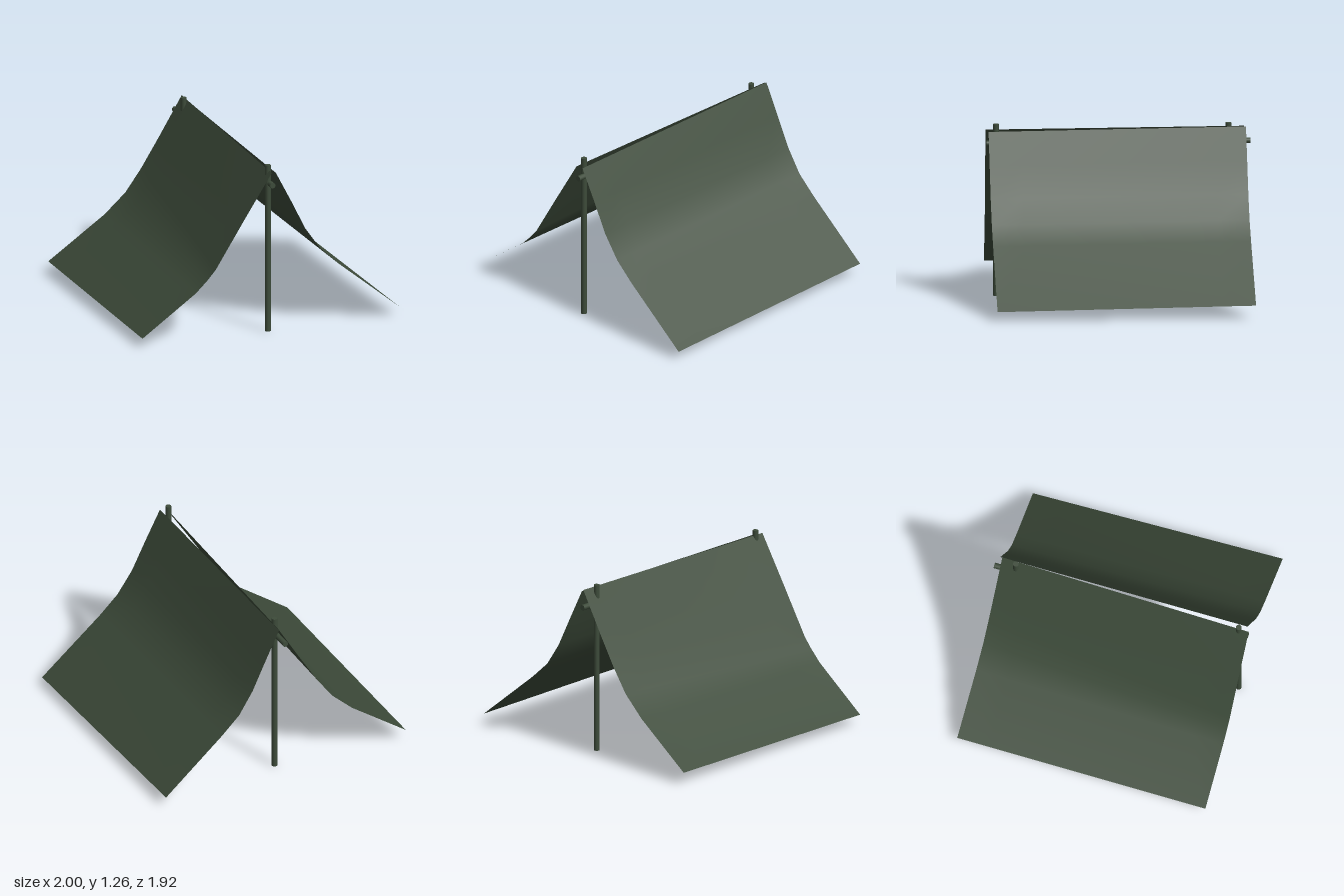
import * as THREE from 'three';

const material = new THREE.MeshStandardMaterial({ color: 0x3d4b3a, side: THREE.DoubleSide });

// Cloth stretched between two edge profiles, each listed from ridge to hem as [x, y, z]
function makeSheet(name, front, back, steps = 8) {
  const positions = [], indices = [];
  const rows = front.length;
  for (let i = 0; i < rows; i++) {
    const a = new THREE.Vector3(...front[i]), b = new THREE.Vector3(...back[i]);
    for (let j = 0; j <= steps; j++) {
      const p = a.clone().lerp(b, j / steps);
      positions.push(p.x, p.y, p.z);
    }
  }
  // Keep the outer face upward on both slopes
  const flip = front[rows - 1][0] < 0;
  for (let i = 0; i < rows - 1; i++) {
    for (let j = 0; j < steps; j++) {
      const a = i * (steps + 1) + j, b = a + 1, c = a + steps + 1, d = c + 1;
      if (flip) indices.push(a, b, c, b, d, c);
      else indices.push(a, c, b, b, c, d);
    }
  }
  const geometry = new THREE.BufferGeometry();
  geometry.setAttribute('position', new THREE.Float32BufferAttribute(positions, 3));
  geometry.setIndex(indices);
  geometry.computeVertexNormals();
  const mesh = new THREE.Mesh(geometry, material);
  mesh.name = name;
  return mesh;
}

// Adds evenly spread z values to a profile of [x, y] points
function edge(points, zRidge, zHem) {
  const xRidge = points[0][0], span = points[points.length - 1][0] - xRidge;
  return points.map(([x, y]) => [x, y, zRidge + (zHem - zRidge) * (x - xRidge) / span]);
}

// Round pole between two points
function makePole(name, from, to, radius = 0.021) {
  const a = new THREE.Vector3(...from), b = new THREE.Vector3(...to);
  const mesh = new THREE.Mesh(new THREE.CylinderGeometry(radius, radius, a.distanceTo(b), 12), material);
  mesh.position.copy(a).add(b).multiplyScalar(0.5);
  mesh.quaternion.setFromUnitVectors(new THREE.Vector3(0, 1, 0), b.sub(a).normalize());
  mesh.name = name;
  return mesh;
}

export function createModel() {
  const tent = new THREE.Group();
  tent.name = 'tent';

  // Uprights and the ridge pole
  tent.add(makePole('frontPole', [-0.01, 0, 0.88], [-0.01, 1.26, 0.88]));
  tent.add(makePole('backPole', [0.02, 0, -0.8], [0.02, 1.26, -0.8]));
  tent.add(makePole('ridgePole', [0, 1.12, 0.95], [0.015, 1.125, -0.96]));

  // Sagging cloth on the left slope
  tent.add(makeSheet('leftSheet',
    edge([[0.03, 1.21], [0.15, 0.98], [0.26, 0.76], [0.38, 0.59], [0.52, 0.46], [1, 0.07]], 0.935, 0.925),
    edge([[0.05, 1.235], [0.16, 1.01], [0.27, 0.78], [0.38, 0.61], [0.52, 0.48], [0.985, 0.095]], -0.925, -0.945)));

  // Sagging cloth on the right slope, slightly skewed
  tent.add(makeSheet('rightSheet',
    edge([[-0.01, 1.22], [-0.23, 0.87], [-0.44, 0.53], [-0.5, 0.46], [-0.59, 0.37], [-1, 0.07]], 0.955, 0.91),
    edge([[0.05, 1.24], [-0.12, 0.95], [-0.26, 0.72], [-0.38, 0.55], [-0.54, 0.4], [-0.97, 0.09]], -0.91, -0.96)));

  return tent;
}
